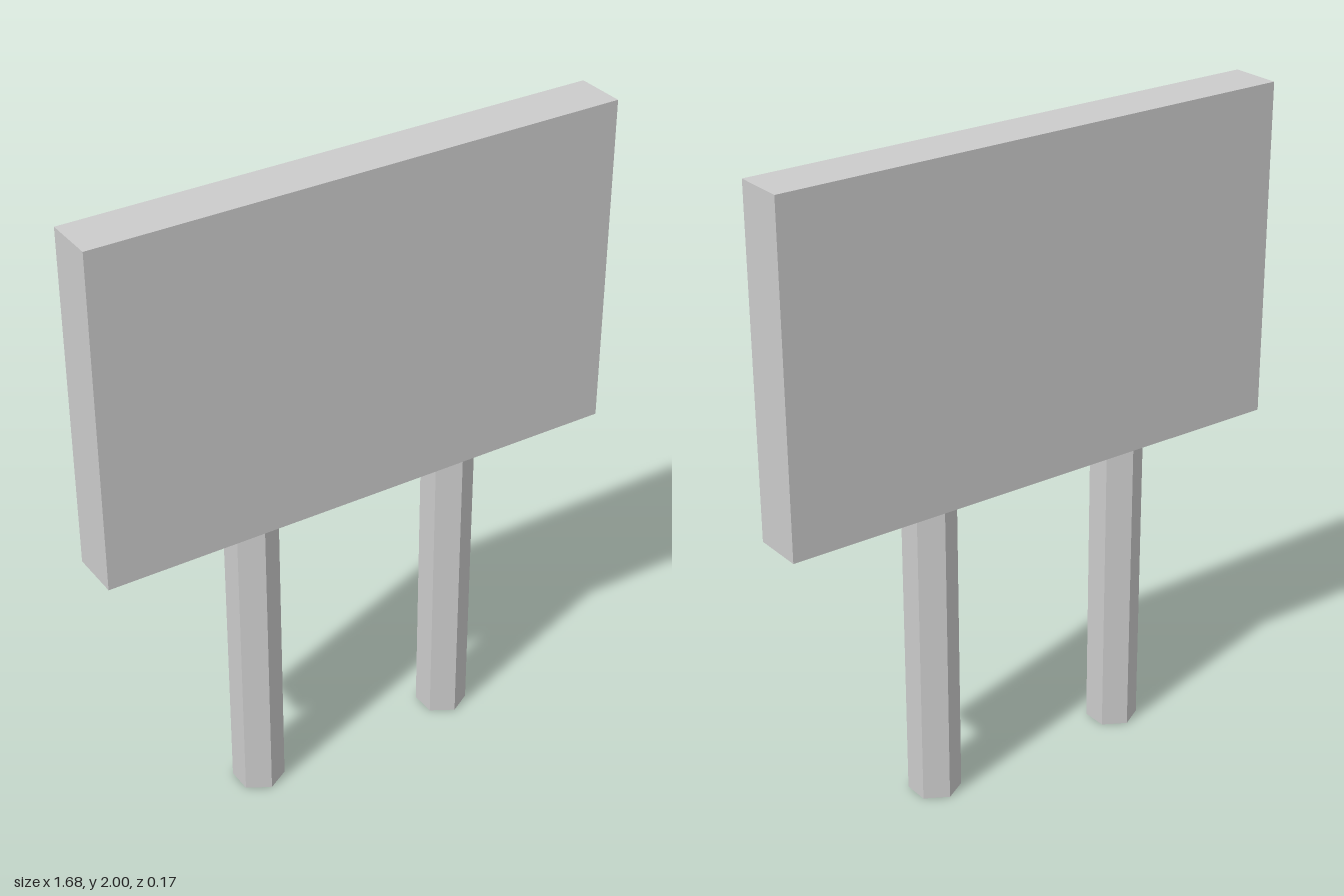
import * as THREE from 'three';

export function createModel() {
  const model = new THREE.Group();
  model.name = 'signBoard';

  const grey = new THREE.MeshStandardMaterial({ color: 0xcccccc, flatShading: true });
  grey.name = 'light grey';

  const bodyZ = -0.007;    // board and posts sit slightly behind the face panel
  const boardBottom = 0.956;

  const add = (name, geometry, x, y, z) => {
    const mesh = new THREE.Mesh(geometry, grey);
    mesh.name = name;
    mesh.position.set(x, y, z);
    model.add(mesh);
  };

  // Thick rectangular board
  const boardHeight = 2 - boardBottom;
  add('board', new THREE.BoxGeometry(1.68, boardHeight, 0.16), 0, boardBottom + boardHeight / 2, bodyZ);

  // Flat display face floating just in front of the board
  add('facePanel', new THREE.PlaneGeometry(1.54, 0.958), 0, 1.479, 0.087);

  // Hexagonal posts, one corner facing forward
  for (const [name, side] of [['leftPost', 1], ['rightPost', -1]]) {
    add(name, new THREE.CylinderGeometry(0.08, 0.08, boardBottom, 6), side * 0.342, boardBottom / 2, bodyZ);
  }

  return model;
}
